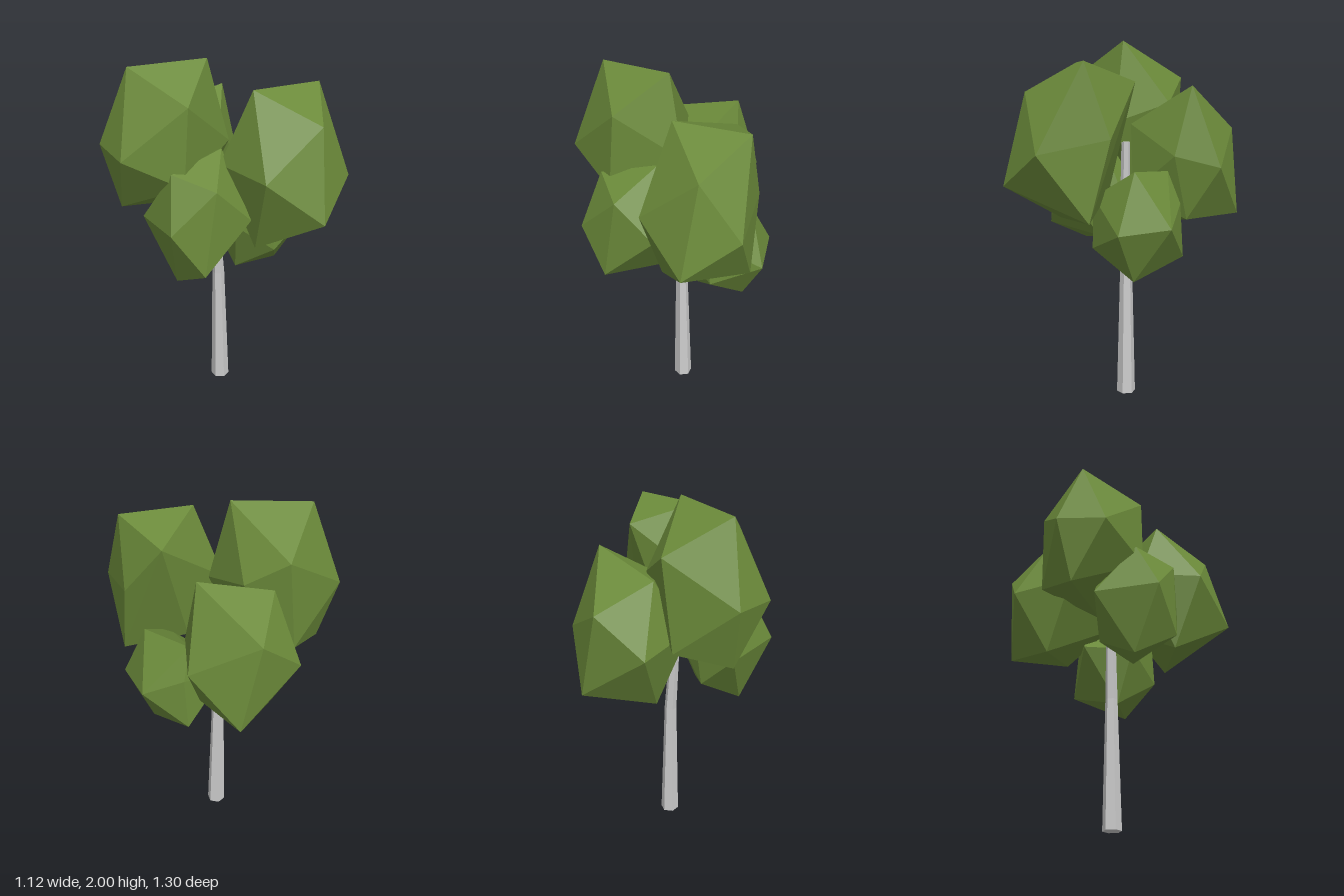
import * as THREE from 'three';
import { ConvexGeometry } from 'three/addons/geometries/ConvexGeometry.js';

const leafMaterial = new THREE.MeshStandardMaterial({ color: 0x6b8a3a, flatShading: true });
const barkMaterial = new THREE.MeshStandardMaterial({ color: 0xcccccc, flatShading: true });

// Uneven twenty-sided leaf clump: six corners, each with its opposite corner,
// which is mirrored through the centre unless it is given
function leafClump(name, centre, corners) {
  const c = new THREE.Vector3(...centre);
  const points = corners.flatMap(([corner, opposite]) => {
    const v = new THREE.Vector3(...corner);
    const mirrored = c.clone().multiplyScalar(2).sub(v);
    return [v, opposite ? new THREE.Vector3(...opposite) : mirrored];
  });
  const mesh = new THREE.Mesh(new ConvexGeometry(points), leafMaterial);
  mesh.name = name;
  return mesh;
}

// Leaning, tapering six-sided trunk; rings are [x, y, z, radius] from top to bottom
function trunk(rings) {
  const geometry = new THREE.CylinderGeometry(1, 1, 1, 6, rings.length - 1);
  const pos = geometry.attributes.position;
  for (let i = 0; i < pos.count; i++) {
    const ring = Math.round((0.5 - pos.getY(i)) * (rings.length - 1));
    const [x, y, z, r] = rings[ring];
    pos.setXYZ(i, x + pos.getX(i) * r, y, z + pos.getZ(i) * r);
  }
  geometry.computeVertexNormals();
  const mesh = new THREE.Mesh(geometry, barkMaterial);
  mesh.name = 'trunk';
  return mesh;
}

export function createModel() {
  const tree = new THREE.Group();
  tree.name = 'tree';

  tree.add(trunk([
    [0.045, 1.45, -0.025, 0.024],
    [0.025, 1.1, -0.025, 0.028],
    [0.055, 0.73, -0.027, 0.035],
    [0.069, 0, -0.025, 0.053],
  ]));

  tree.add(
    leafClump('topLeafClump', [-0.24, 1.6, -0.09], [
      [[-0.43, 1.98, -0.11], [-0.05, 1.2, -0.08]],
      [[-0.02, 2.0, -0.02], [-0.48, 1.21, -0.15]],
      [[-0.24, 1.82, 0.2], [-0.26, 1.3, -0.37]],
      [[-0.21, 1.8, -0.39]],
      [[-0.55, 1.54, 0.05], [-0.01, 1.66, -0.28]],
      [[-0.56, 1.56, -0.22], [0.08, 1.56, 0.04]],
    ]),
    leafClump('frontLeafClump', [0.265, 1.46, 0.31], [
      [[0.1, 1.88, 0.25], [0.53, 1.08, 0.23]],
      [[0.5, 1.88, 0.25], [0.08, 1.04, 0.34]],
      [[0.34, 1.73, 0.53]],
      [[0.34, 1.78, -0.03], [0.3, 1.25, 0.65]],
      [[0.55, 1.43, 0.49], [-0.04, 1.48, 0.16]],
      [[0.03, 1.47, 0.51], [0.52, 1.5, 0.12]],
    ]),
    leafClump('backLeafClump', [0.05, 1.35, -0.35], [
      [[-0.14, 1.66, -0.37]],
      [[0.25, 1.76, -0.35], [-0.14, 0.97, -0.36]],
      [[0.01, 1.52, -0.64]],
      [[0.12, 1.05, -0.65], [0.07, 1.55, -0.05]],
      [[0.34, 1.33, -0.49]],
      [[0.29, 1.39, -0.25], [-0.23, 1.31, -0.54]],
    ]),
    leafClump('lowerFrontLeafClump', [-0.18, 1.2, 0.16], [
      [[-0.33, 1.48, 0.18], [-0.02, 0.91, 0.11]],
      [[-0.02, 1.56, 0.14], [-0.3, 0.85, 0.16]],
      [[-0.17, 1.42, 0.37]],
      [[-0.24, 0.96, 0.38]],
      [[-0.4, 1.2, 0.31]],
      [[0.04, 1.22, 0.36]],
    ]),
    leafClump('lowerSideLeafClump', [0.31, 1.05, -0.05], [
      [[0.43, 0.75, -0.01], [0.26, 1.31, -0.22]],
      [[0.16, 0.75, -0.01], [0.45, 1.33, -0.01]],
      [[0.3, 0.91, 0.19], [0.31, 1.14, -0.28]],
      [[0.3, 0.85, -0.3], [0.27, 1.18, 0.18]],
      [[0.56, 1.02, 0.09]],
      [[0.52, 1.04, -0.19]],
    ]),
  );

  return tree;
}
